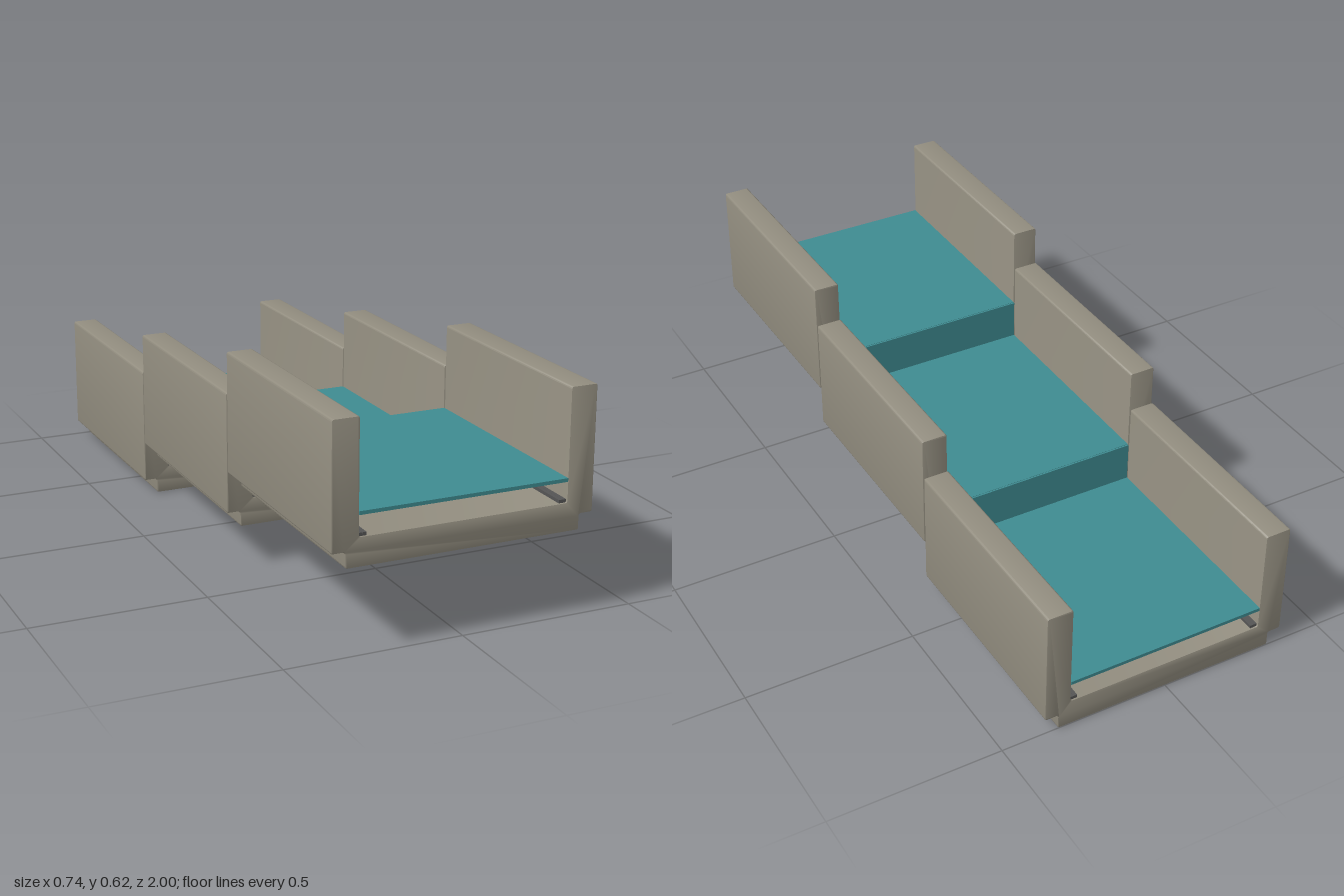
import * as THREE from 'three';
import { toCreasedNormals } from 'three/addons/utils/BufferGeometryUtils.js';

const LENGTH = 0.663, PITCH = 0.6685, RISE = 0.118;
const INNER = 0.296, OUTER = 0.372, FOOT = 0.333;
const FLOOR = 0.079, WALL_TOP = 0.389, STEP = 0.044;

const stone = new THREE.MeshStandardMaterial({ color: 0x938e80 });
const teal = new THREE.MeshStandardMaterial({ color: 0x3f8c91 });
const dark = new THREE.MeshStandardMaterial({ color: 0x555555 });

function addBox(parent, name, material, w, h, d, x, y, z) {
  const mesh = new THREE.Mesh(new THREE.BoxGeometry(w, h, d), material);
  mesh.name = name;
  mesh.position.set(x, y, z);
  parent.add(mesh);
}

// U-shaped channel outline with softly rounded corners, stepped in at the foot
function channelShape() {
  const half = [[FOOT, 0], [FOOT, STEP], [OUTER, STEP], [OUTER, WALL_TOP], [INNER, WALL_TOP], [INNER, FLOOR]];
  const pts = [...half, ...half.map(([x, y]) => [-x, y]).reverse()].map(p => new THREE.Vector2(...p));
  const shape = new THREE.Shape();
  pts.forEach((p, i) => {
    const toward = q => p.clone().add(q.clone().sub(p).setLength(0.006));
    const a = toward(pts.at(i - 1)), b = toward(pts[(i + 1) % pts.length]);
    if (i === 0) shape.moveTo(a.x, a.y);
    else shape.lineTo(a.x, a.y);
    shape.quadraticCurveTo(p.x, p.y, b.x, b.y);
  });
  shape.closePath();
  return shape;
}

function channelGeometry() {
  const bevel = 0.003;
  const geo = new THREE.ExtrudeGeometry(channelShape(), {
    depth: LENGTH - 2 * bevel, curveSegments: 3,
    bevelEnabled: true, bevelThickness: bevel, bevelSize: bevel, bevelOffset: -bevel, bevelSegments: 2,
  });
  geo.translate(0, 0, bevel - LENGTH / 2);
  return toCreasedNormals(geo, 0.7);
}

export function createModel() {
  const model = new THREE.Group();
  model.name = 'steppedChannel';
  const channel = channelGeometry();

  // Three sections climbing from the back to the front
  for (let i = 0; i < 3; i++) {
    const section = new THREE.Group();
    section.name = ['backSection', 'middleSection', 'frontSection'][i];
    section.position.set(0, i * RISE, (i - 1) * PITCH);
    model.add(section);

    const body = new THREE.Mesh(channel, stone);
    body.name = 'channelBody';
    section.add(body);

    // Raised deck between the walls
    addBox(section, 'deckPanel', teal, 2 * INNER, 0.01, LENGTH, 0, 0.141, 0);

    // Thin riser closing the step down to the section behind
    if (i > 0) addBox(section, 'riserPanel', teal, 2 * INNER, 0.144, 0.005, 0, 0.073, -LENGTH / 2 - 0.0025);

    // Paired strips in the floor corners
    for (const side of [1, -1]) {
      for (const x of [0.279, 0.29]) {
        addBox(section, 'floorStrip', dark, 0.0105, 0.009, LENGTH - 0.01, side * x, FLOOR + 0.0045, 0);
      }
    }
  }
  return model;
}
